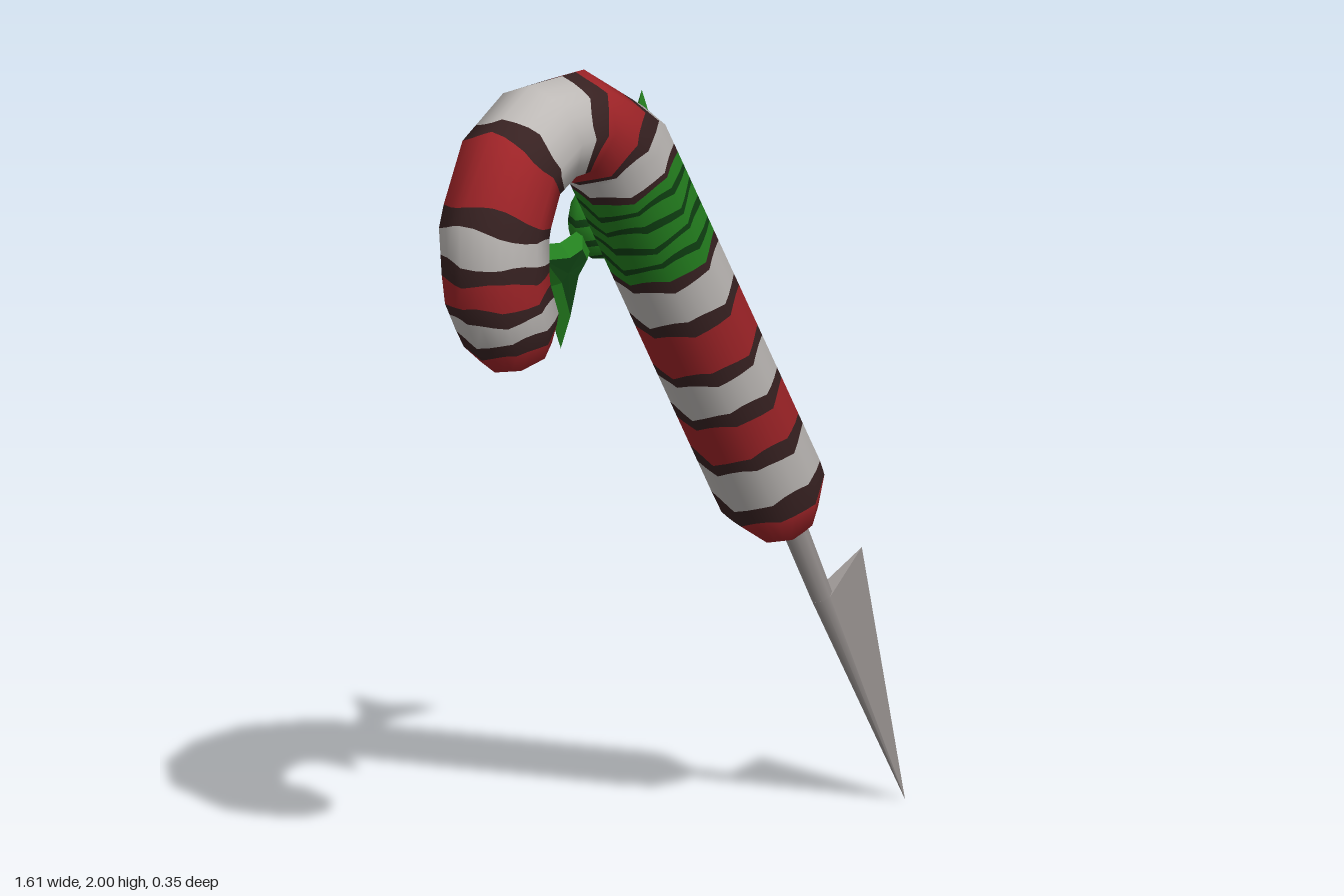
import * as THREE from 'three';

const mat = (name, color, side = THREE.FrontSide) => {
  const m = new THREE.MeshStandardMaterial({ color, side });
  m.name = name;
  return m;
};

export function createModel() {
  const M = {
    R: mat('red', 0xa02428),
    W: mat('white', 0xbdb9b6),
    K: mat('dark brown', 0x382222),
    G: mat('green', 0x24801f, THREE.DoubleSide),
    D: mat('dark green', 0x0f4012, THREE.DoubleSide),
    S: mat('steel', 0x9a9492, THREE.DoubleSide),
  };
  const model = new THREE.Group();
  model.name = 'candyCaneSpear';
  const CZ = 0.045;
  const add = (parent, geo, m, name) => {
    const mesh = new THREE.Mesh(geo, m);
    mesh.name = name;
    parent.add(mesh);
    return mesh;
  };

  // Cane centre line: x, y, radius; the shaft starts at index 3
  const pts = [
    [0.392, 0.731, 0.001], [0.390, 0.735, 0.042], [0.374, 0.761, 0.08], [0.327, 0.838, 0.13],
    [-0.248, 1.788, 0.13], [-0.396, 1.872, 0.13], [-0.517, 1.872, 0.13], [-0.623, 1.814, 0.13],
    [-0.683, 1.682, 0.13], [-0.675, 1.533, 0.125], [-0.623, 1.425, 0.118],
    [-0.601, 1.367, 0.085], [-0.592, 1.348, 0.045], [-0.591, 1.345, 0.001],
  ];
  const len = [0];
  for (let i = 1; i < pts.length; i++)
    len.push(len[i - 1] + Math.hypot(pts[i][0] - pts[i - 1][0], pts[i][1] - pts[i - 1][1]));
  const knots = len.map((l) => l - len[3]);
  const rings = pts.map((p, i) => {
    const lo = Math.max(i - 1, 0), hi = Math.min(i + 1, pts.length - 1);
    const T = new THREE.Vector3(pts[hi][0] - pts[lo][0], pts[hi][1] - pts[lo][1], 0).normalize();
    return { T, N: new THREE.Vector3(T.y, -T.x, 0), slope: (pts[hi][2] - pts[lo][2]) / (len[hi] - len[lo]) };
  });

  // Point and normal on one ring of the eight-sided tube
  const onRing = (i, a) => {
    const { T, N, slope } = rings[i], [x, y, r] = pts[i];
    const side = Math.PI / 4, local = ((a % side) + side) % side;
    const rr = (r * Math.cos(side / 2)) / Math.cos(local - side / 2);
    const dir = N.clone().multiplyScalar(Math.cos(a)).add(new THREE.Vector3(0, 0, Math.sin(a)));
    const pos = new THREE.Vector3(x, y, CZ).addScaledVector(dir, rr);
    return { pos, nor: dir.addScaledVector(T, -slope).normalize() };
  };
  const surface = (t, a) => {
    let i = 0;
    while (i < knots.length - 2 && t > knots[i + 1]) i++;
    const f = THREE.MathUtils.clamp((t - knots[i]) / (knots[i + 1] - knots[i]), 0, 1);
    const p = onRing(i, a), q = onRing(i + 1, a);
    return { pos: p.pos.lerp(q.pos, f), nor: p.nor.lerp(q.nor, f).normalize() };
  };

  // One painted band of the tube, with slightly wavy borders
  const SEG = 24;
  const t0 = knots[0], tEnd = knots[knots.length - 1];
  const wave = (t, a) => (t === t0 || t === tEnd ? 0 : 0.007 * Math.sin(3 * a + t * 40) - 0.012 * Math.cos(a));
  const band = (from, to) => {
    const rows = [from, ...knots.filter((k) => k > from + 0.02 && k < to - 0.02), to];
    if (from === t0) rows.splice(1, rows.length - 2, knots[1], knots[2]);
    if (to === tEnd) rows.splice(1, rows.length - 2, knots[11], knots[12]);
    const pos = [], nor = [], idx = [];
    rows.forEach((t, r) => {
      for (let j = 0; j <= SEG; j++) {
        const a = (j / SEG) * Math.PI * 2;
        const edge = r === 0 || r === rows.length - 1;
        const s = surface(edge ? t + wave(t, a) : t, a);
        pos.push(...s.pos.toArray());
        nor.push(...s.nor.toArray());
        if (r && j) {
          const d = r * (SEG + 1) + j, c = d - 1, b = d - SEG - 1, e = b - 1;
          idx.push(e, c, b, b, c, d);
        }
      }
    });
    const g = new THREE.BufferGeometry();
    g.setAttribute('position', new THREE.Float32BufferAttribute(pos, 3));
    g.setAttribute('normal', new THREE.Float32BufferAttribute(nor, 3));
    g.setIndex(idx);
    return g;
  };

  // Colour and upper end of each band, from the spear end to the hook end
  const bands = [
    ['R', -0.005], ['K', 0.05], ['W', 0.16], ['K', 0.2], ['R', 0.305], ['K', 0.345], ['W', 0.44],
    ['K', 0.475], ['R', 0.6], ['K', 0.64], ['W', 0.745], ['K', 0.775],
    ['G', 0.815], ['D', 0.833], ['G', 0.873], ['D', 0.891], ['G', 0.931], ['D', 0.949],
    ['G', 0.987], ['D', 1.003], ['G', 1.035], ['K', 1.055],
    ['W', 1.145], ['K', 1.185], ['R', 1.305], ['K', 1.345], ['W', 1.485], ['K', 1.52], ['R', 1.64],
    ['K', 1.68], ['W', 1.745], ['K', 1.78], ['R', 1.83], ['K', 1.865], ['W', 1.915], ['K', 1.95], ['R', tEnd],
  ];
  const names = { R: 'redStripe', W: 'whiteStripe', K: 'darkStripe', G: 'ribbonWrap', D: 'ribbonFold' };
  const cane = new THREE.Group();
  cane.name = 'cane';
  model.add(cane);
  let start = t0;
  for (const [c, end] of bands) {
    add(cane, band(start, end), M[c], names[c]);
    start = end;
  }

  // Bow on the back: two puffed wings and a banded knot
  const bow = new THREE.Group();
  bow.name = 'bow';
  bow.position.set(-0.105, 1.556, -0.113);
  bow.rotation.z = Math.atan2(0.52, 0.854);
  model.add(bow);
  const outline = [[0.06, 0.03], [0.14, 0.05], [0.271, 0.163], [0.238, 0], [0.271, -0.163], [0.14, -0.055], [0.06, -0.03]];
  const inner = outline.map(([u, v]) => [0.18 + (u - 0.18) * 0.55, v * 0.55]);
  const rim = [], fold = [];
  for (const h of [0.032, -0.032]) {
    outline.forEach((p, i) => {
      const k = (i + 1) % outline.length, q = outline[k], a = inner[i], b = inner[k];
      rim.push(...p, 0, ...a, h, ...q, 0, ...q, 0, ...a, h, ...b, h);
      fold.push(...a, h, 0.18, 0, h * 0.9, ...b, h);
    });
  }
  const flat = (arr) => {
    const g = new THREE.BufferGeometry();
    g.setAttribute('position', new THREE.Float32BufferAttribute(arr, 3));
    g.computeVertexNormals();
    return g;
  };
  for (const side of [0, Math.PI]) {
    const wing = new THREE.Group();
    wing.name = side ? 'rightWing' : 'leftWing';
    wing.rotation.z = side;
    add(wing, flat(rim), M.G, 'wingRim');
    add(wing, flat(fold), M.D, 'wingFold');
    bow.add(wing);
  }
  const cuts = [0, 0.29, 0.35, 0.47, 0.53, 0.65, 0.71, 1];
  for (let i = 0; i < cuts.length - 1; i++) {
    const g = new THREE.SphereGeometry(1, 10, 2, 0, Math.PI * 2, cuts[i] * Math.PI, (cuts[i + 1] - cuts[i]) * Math.PI);
    add(bow, g, i % 2 ? M.D : M.G, i % 2 ? 'knotFold' : 'knot').scale.set(0.09, 0.1, 0.066);
  }

  // Steel spike: a tapering rod and a one-sided barb
  const rod = (a, b, ra, rb, name) => {
    const d = b.clone().sub(a);
    const m = add(model, new THREE.CylinderGeometry(rb, ra, d.length(), 8), M.S, name);
    m.position.copy(a).addScaledVector(d, 0.5);
    m.quaternion.setFromUnitVectors(new THREE.Vector3(0, 1, 0), d.normalize());
  };
  const top = new THREE.Vector3(0.375, 0.79, CZ);
  const neck = new THREE.Vector3(0.503, 0.552, CZ);
  const tip = new THREE.Vector3(0.805, 0, CZ);
  rod(top, neck, 0.031, 0.026, 'spikeRod');
  rod(neck, tip, 0.026, 0.0005, 'spikePoint');
  const f = [neck.x, neck.y, CZ + 0.026], k = [neck.x, neck.y, CZ - 0.026];
  const e = [0.649, 0.637, CZ], p = tip.toArray();
  add(model, flat([...f, ...p, ...e, ...k, ...e, ...p, ...f, ...e, ...k]), M.S, 'barb');

  return model;
}
